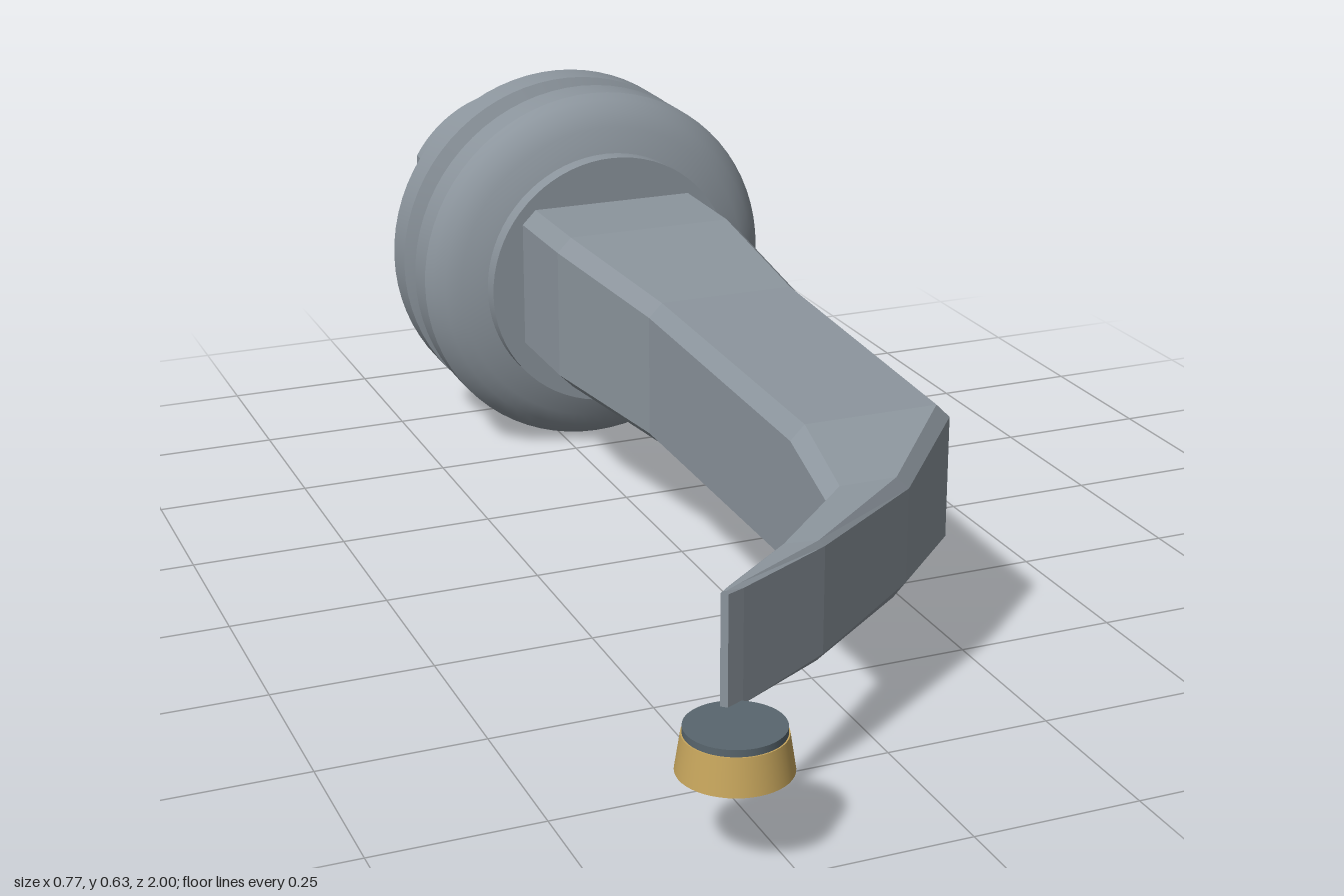
import * as THREE from 'three';
import { toCreasedNormals } from 'three/addons/utils/BufferGeometryUtils.js';

const AXIS_X = 0.066, AXIS_Y = 0.318;

function mat(name, color) {
  const m = new THREE.MeshStandardMaterial({ color });
  m.name = name;
  return m;
}

// Solid turned about the z axis; profile is [radius, z] from back to front
function turned(profile) {
  const pts = profile.map(([r, z]) => new THREE.Vector2(r, z));
  const geo = new THREE.LatheGeometry(pts, 72).rotateX(Math.PI / 2);
  return toCreasedNormals(geo, 0.4).translate(AXIS_X, AXIS_Y, 0);
}

// Chamfered box lofted through sections: [leftX, leftZ, rightX, rightZ, bottomY, topY, chamfer]
function loft(sections) {
  const rings = sections.map(([lx, lz, rx, rz, y0, y1, c]) => {
    const t = Math.min(0.35, c / (rx - lx));
    const p = (u, y) => [lx + (rx - lx) * u, y, lz + (rz - lz) * u];
    return [p(t, y0), p(1 - t, y0), p(1, y0 + c), p(1, y1 - c),
      p(1 - t, y1), p(t, y1), p(0, y1 - c), p(0, y0 + c)];
  });
  const pos = [];
  for (let i = 0; i < rings.length - 1; i++) {
    for (let j = 0; j < 8; j++) {
      const k = (j + 1) % 8, a = rings[i], b = rings[i + 1];
      pos.push(...a[j], ...a[k], ...b[k], ...a[j], ...b[k], ...b[j]);
    }
  }
  const back = rings[0], front = rings[rings.length - 1];
  for (let j = 1; j < 7; j++) {
    pos.push(...front[0], ...front[j], ...front[j + 1]);
    pos.push(...back[0], ...back[j + 1], ...back[j]);
  }
  const geo = new THREE.BufferGeometry();
  geo.setAttribute('position', new THREE.Float32BufferAttribute(pos, 3));
  geo.computeVertexNormals();
  return geo;
}

export function createModel() {
  const group = new THREE.Group();
  const grey = mat('metalGrey', 0x8c959d);
  const dark = mat('darkGrey', 0x59666e);
  const brass = mat('brass', 0xc6a55c);
  const add = (name, geo, material, x = 0, y = 0, z = 0) => {
    const m = new THREE.Mesh(geo, material);
    m.name = name;
    m.position.set(x, y, z);
    group.add(m);
    return m;
  };

  // Grooved flange with a rounded front shoulder
  add('flange', turned([
    [0, -0.785], [0.25, -0.785], [0.29, -0.775], [0.316, -0.76], [0.316, -0.697],
    [0.278, -0.68], [0.278, -0.642], [0.316, -0.63], [0.316, -0.572],
    [0.307, -0.555], [0.29, -0.537], [0.265, -0.522], [0.222, -0.508],
    [0.222, -0.477], [0, -0.477],
  ]), grey);

  // Dark seal behind the flange, then the rear collar
  add('sealRing', turned([[0, -0.84], [0.246, -0.84], [0.246, -0.785], [0, -0.785]]), dark);
  add('rearCollar', turned([
    [0, -0.905], [0.232, -0.905], [0.246, -0.89], [0.246, -0.84], [0, -0.84],
  ]), grey);

  // Rear plug: round with two flat sides
  const R = 0.228, a = Math.acos(0.196 / R);
  const plug = new THREE.Shape();
  plug.absarc(0, 0, R, a, Math.PI - a, false);
  plug.absarc(0, 0, R, Math.PI + a, 2 * Math.PI - a, false);
  plug.closePath();
  const plugGeo = new THREE.ExtrudeGeometry(plug, { depth: 0.1, bevelEnabled: false, curveSegments: 28 });
  add('rearPlug', toCreasedNormals(plugGeo, 0.4), grey, AXIS_X, AXIS_Y, -1);

  // Arm with a hooked, tapering tip
  add('arm', loft([
    [-0.10, -0.50, 0.232, -0.50, 0.20, 0.462, 0.024],
    [-0.10, -0.30, 0.23, -0.30, 0.198, 0.462, 0.024],
    [-0.052, -0.01, 0.214, -0.01, 0.191, 0.43, 0.022],
    [-0.052, 0.525, 0.20, 0.525, 0.184, 0.414, 0.022],
    [-0.052, 0.645, 0.075, 0.645, 0.184, 0.366, 0.02],
    [-0.18, 0.765, -0.115, 0.775, 0.177, 0.352, 0.009],
    [-0.285, 0.849, -0.27, 0.862, 0.177, 0.351, 0.005],
    [-0.305, 0.868, -0.297, 0.875, 0.177, 0.351, 0.004],
  ]), grey);

  // Screw under the arm
  add('armScrew', new THREE.CylinderGeometry(0.026, 0.026, 0.008, 24), dark, 0.07, 0.184, 0.38);
  add('armScrewCentre', new THREE.CylinderGeometry(0.012, 0.012, 0.008, 6), grey, 0.07, 0.182, 0.38);

  // Tapered foot with a dark cap and a screw beneath
  const fx = -0.307, fz = 0.922;
  add('foot', new THREE.CylinderGeometry(0.07, 0.078, 0.052, 48), brass, fx, 0.152, fz);
  add('footCap', new THREE.CylinderGeometry(0.068, 0.068, 0.01, 48), dark, fx, 0.183, fz);
  add('footScrew', new THREE.CylinderGeometry(0.022, 0.022, 0.004, 24), dark, fx, 0.126, fz);

  // Stand the lowest point of the flange on the ground
  group.children.forEach((m) => { m.position.y -= 0.002; });
  return group;
}
